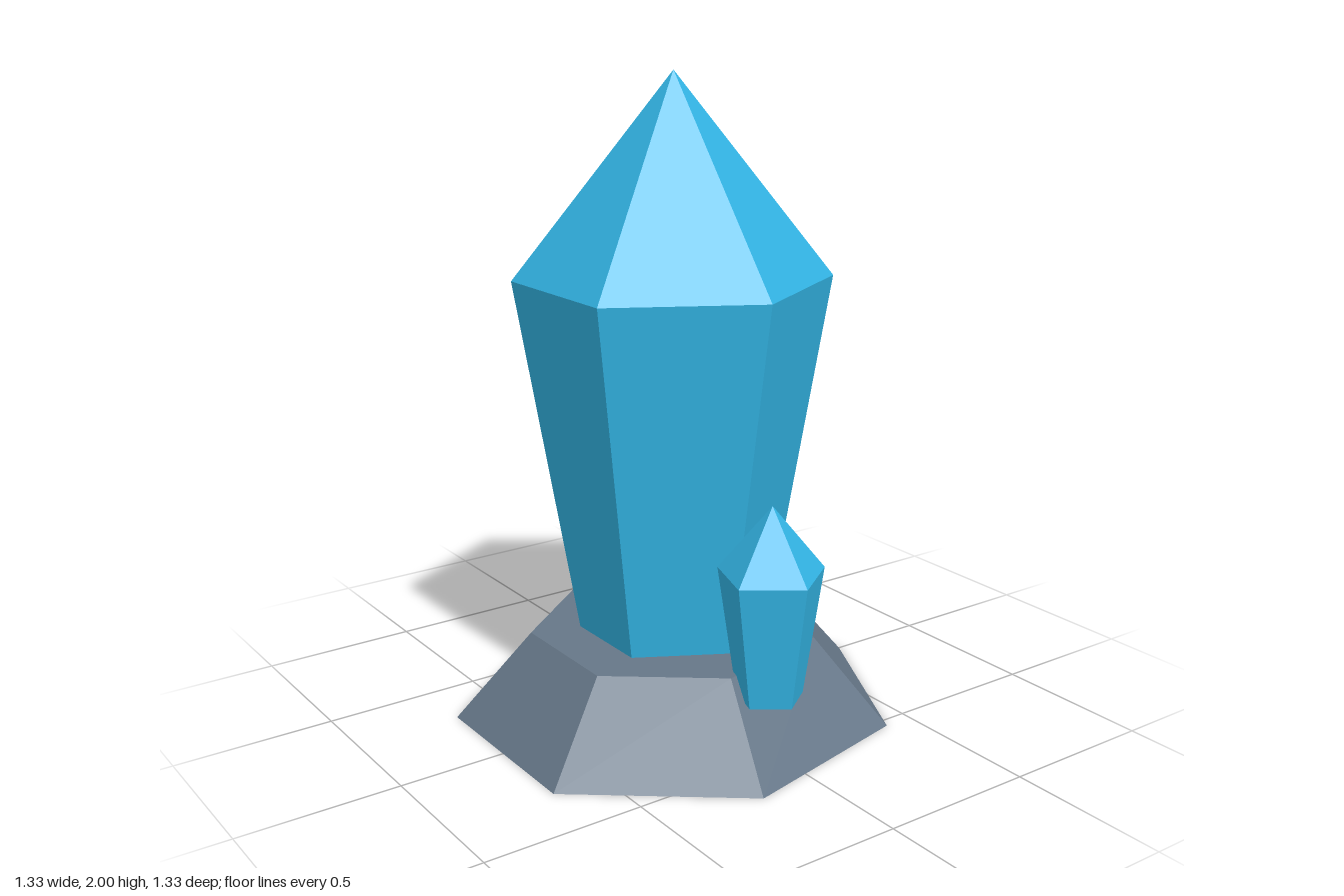
import * as THREE from 'three';

const CENTRE_Z = 0.033;
const crystalBlue = new THREE.MeshStandardMaterial({ color: 0x33b5e5, flatShading: true });
crystalBlue.name = 'crystal blue';
const slateGrey = new THREE.MeshStandardMaterial({ color: 0x667788, flatShading: true });
slateGrey.name = 'slate grey';

// Faceted frustum standing between two heights; its first corner lies at angle start
function frustum(name, material, rTop, rBottom, y0, y1, sides, start, open = false) {
  const geometry = new THREE.CylinderGeometry(rTop, rBottom, y1 - y0, sides, 1, open, start)
    .translate(0, (y0 + y1) / 2, 0)
    .toNonIndexed();
  geometry.computeVertexNormals();
  const mesh = new THREE.Mesh(geometry, material);
  mesh.name = name;
  return mesh;
}

// Crystal: a shaft that widens upward, closed by a pointed tip
function crystal(name, sides, rBottom, rShoulder, yBottom, yShoulder, yTip) {
  const group = new THREE.Group();
  group.name = name;
  group.add(
    frustum(name + 'Shaft', crystalBlue, rShoulder, rBottom, yBottom, yShoulder, sides, Math.PI / 2),
    frustum(name + 'Tip', crystalBlue, 0, rShoulder, yShoulder, yTip, sides, Math.PI / 2, true)
  );
  return group;
}

export function createModel() {
  const model = new THREE.Group();
  model.name = 'crystalCluster';

  // Seven-sided rock base with a corner at the back
  const base = frustum('rockBase', slateGrey, 0.447, 0.682, 0, 0.27, 7, Math.PI);
  base.position.z = CENTRE_Z;
  base.scale.z = 1.027;

  // Tall six-sided crystal
  const large = crystal('largeCrystal', 6, 0.29, 0.477, 0.25, 1.385, 2);
  large.position.z = CENTRE_Z;
  large.scale.z = 1.027;

  // Small five-sided crystal on the left edge of the rock
  const small = crystal('smallCrystal', 5, 0.103, 0.163, 0.205, 0.595, 0.8);
  small.position.set(0.491, 0, CENTRE_Z);
  small.scale.z = 1.02;

  model.add(base, large, small);
  return model;
}
